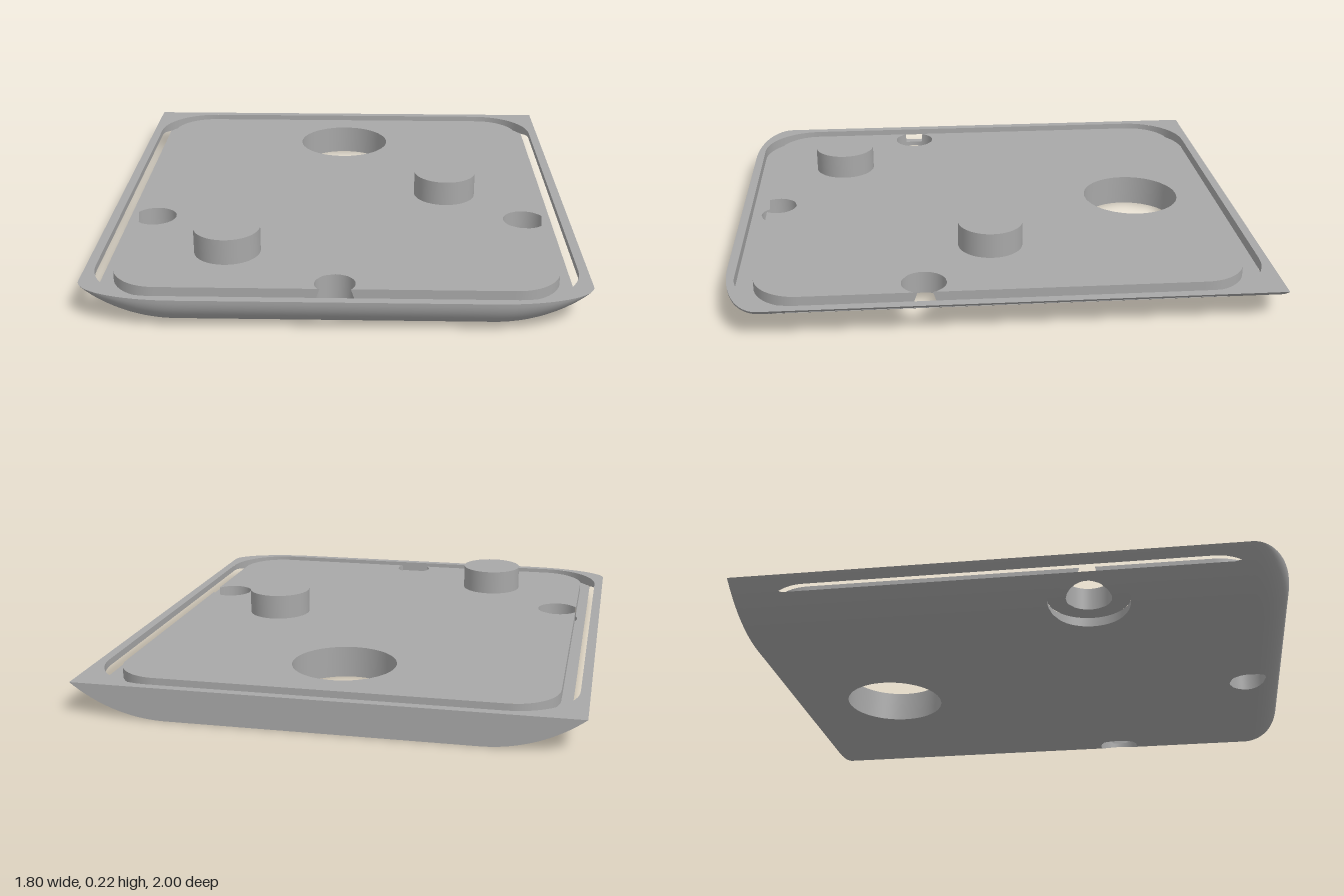
import * as THREE from 'three';
import { mergeVertices } from 'three/addons/utils/BufferGeometryUtils.js';

const TOP = 0.12, FLOOR = 0.08, POCKET = 0.035;        // heights of rim, groove floor, counterbore
const CX = 0.55, CZ = 0.86, RX = 0.35, RZ = 0.14;      // flat core and width of the curved skirt
const SIDE_R = (RX * RX + TOP * TOP) / (2 * TOP);

const bigHole = { x: 0, z: -0.6, r: 0.193 };
const frontHole = { x: 0, z: 0.857, r: 0.073 };
const sideHoles = [-1, 1].map(s => ({ x: s * 0.725, z: 0.285, r: 0.083 }));
const pockets = sideHoles.map(h => ({ ...h, r: 0.15 }));
const holes = [bigHole, frontHole, ...sideHoles];
const grooveOuter = { hx: 0.865, hz: 0.967, r: 0.235 };
const grooveInner = { hx: 0.8, hz: 0.9, r: 0.17 };

// Distances in plan: positive outside the circle or rounded rectangle
const circle = c => (x, z) => Math.hypot(x - c.x, z - c.z) - c.r;
const roundRect = q => (x, z) => {
  const a = Math.abs(x) - q.hx + q.r, b = Math.abs(z) - q.hz + q.r;
  return Math.hypot(Math.max(a, 0), Math.max(b, 0)) + Math.min(Math.max(a, b), 0) - q.r;
};
const outside = holes.map(circle);
const inOuter = roundRect(grooveOuter), inInner = roundRect(grooveInner);
const not = f => (x, z) => -f(x, z);

// Height of the curved underside: shallow arc at the sides, full fillet at the front
function under(x, z) {
  const u = Math.max(0, (Math.abs(x) - CX) / RX), v = Math.max(0, (z - CZ) / RZ);
  const s = Math.min(1, Math.hypot(u, v));
  if (s < 1e-9) return 0;
  const w = u * u / (u * u + v * v);
  const side = SIDE_R - Math.sqrt(SIDE_R * SIDE_R - RX * RX * s * s);
  return w * side + (1 - w) * TOP * (1 - Math.sqrt(1 - s * s));
}

// Plan of the plate as triangles: flat core plus skirt rings
function planTriangles() {
  const tris = [], NZ = 60, NX = 26, NC = 16, NS = 14;
  const patch = (ni, nj, at) => {
    for (let i = 0; i < ni; i++) for (let j = 0; j < nj; j++) {
      const a = at(i, j), b = at(i + 1, j), c = at(i + 1, j + 1), d = at(i, j + 1);
      tris.push([a, b, c], [a, c, d]);
    }
  };
  const zAt = i => -1 + (1 + CZ) * i / NZ, xAt = j => CX * (1 - 2 * j / NX);
  patch(NZ, NX, (i, j) => [xAt(j), zAt(i)]);
  const path = [];
  for (let i = 0; i <= NZ; i++) path.push([CX, zAt(i), 0]);
  for (let i = 1; i <= NC; i++) path.push([CX, CZ, Math.PI / 2 * i / NC]);
  for (let j = 1; j <= NX; j++) path.push([xAt(j), CZ, Math.PI / 2]);
  for (let i = 1; i <= NC; i++) path.push([-CX, CZ, Math.PI / 2 * (1 + i / NC)]);
  for (let i = NZ - 1; i >= 0; i--) path.push([-CX, zAt(i), Math.PI]);
  patch(path.length - 1, NS, (i, j) => {
    const [x, z, t] = path[i], s = Math.sin(Math.PI / 2 * j / NS);
    return [x + RX * s * Math.cos(t), z + RZ * s * Math.sin(t)];
  });
  return tris;
}

// Keep the part of a plan polygon where f > 0
function clip(poly, f) {
  const out = [];
  poly.forEach((a, i) => {
    const b = poly[(i + 1) % poly.length], fa = f(...a) > 0, fb = f(...b) > 0;
    if (fa) out.push(a);
    if (fa !== fb) {
      let p = fa ? a : b, q = fa ? b : a;
      for (let k = 0; k < 24; k++) {
        const m = [(p[0] + q[0]) / 2, (p[1] + q[1]) / 2];
        if (f(...m) > 0) p = m; else q = m;
      }
      out.push(p);
    }
  });
  return out;
}

function toGeometry(pos) {
  const g = new THREE.BufferGeometry();
  g.setAttribute('position', new THREE.Float32BufferAttribute(pos, 3));
  const merged = mergeVertices(g, 1e-5);
  merged.computeVertexNormals();
  return merged;
}

// Plan surface at a height rule, facing up or down, trimmed by the given rules
function surface(plan, height, up, trims) {
  const pos = [];
  for (const tri of plan) {
    let poly = tri;
    for (const f of trims) if (poly.length) poly = clip(poly, f);
    for (let i = 1; i + 1 < poly.length; i++) {
      let [a, b, c] = [poly[0], poly[i], poly[i + 1]];
      const ny = (b[1] - a[1]) * (c[0] - a[0]) - (b[0] - a[0]) * (c[1] - a[1]);
      if (Math.abs(ny) < 1e-10) continue;
      if ((ny > 0) !== up) [b, c] = [c, b];
      for (const p of [a, b, c]) pos.push(p[0], height(...p), p[1]);
    }
  }
  return toGeometry(pos);
}

// Upright wall along a plan path between two height rules
function wall(path, low, high) {
  const pos = [];
  for (let i = 0; i + 1 < path.length; i++) {
    const [a, b] = [path[i], path[i + 1]];
    const ha = high(...a), hb = high(...b);
    const la = Math.min(low(...a), ha), lb = Math.min(low(...b), hb);
    const A = [a[0], la, a[1]], B = [b[0], lb, b[1]], C = [b[0], hb, b[1]], D = [a[0], ha, a[1]];
    if (hb - lb > 1e-6) pos.push(...A, ...B, ...C);
    if (ha - la > 1e-6) pos.push(...A, ...C, ...D);
  }
  return toGeometry(pos);
}

const circlePath = c => Array.from({ length: 129 }, (_, i) => {
  const t = (i % 128) / 128 * Math.PI * 2;
  return [c.x + c.r * Math.cos(t), c.z + c.r * Math.sin(t)];
});

function rectPath({ hx, hz, r }) {
  const p = new THREE.Path(), x = hx - r, z = hz - r, q = Math.PI / 2;
  [[x, z], [-x, z], [-x, -z], [x, -z]].forEach(([cx, cz], i) => p.absarc(cx, cz, r, i * q, (i + 1) * q));
  p.closePath();
  return p.getSpacedPoints(480).map(v => [v.x, v.y]);
}

export function createModel() {
  const group = new THREE.Group();
  group.name = 'coverPlate';
  const grey = new THREE.MeshStandardMaterial({ color: 0xa8a8a8 });
  grey.name = 'plain grey';
  const add = (name, geometry) => {
    const mesh = new THREE.Mesh(geometry, grey);
    mesh.name = name;
    group.add(mesh);
    return mesh;
  };
  const plan = planTriangles();
  const flat = y => () => y;

  // Plate faces
  add('underside', surface(plan, under, false, [
    ...outside,
    ...pockets.map(c => (x, z) => Math.max(circle(c)(x, z), under(x, z) - POCKET)),
    (x, z) => Math.max(FLOOR - under(x, z), inOuter(x, z)),
  ]));
  add('rimTop', surface(plan, flat(TOP), true, [inOuter]));
  add('panelTop', surface(plan, flat(TOP), true, [not(inInner), ...outside]));
  add('grooveFloor', surface(plan, flat(FLOOR), true,
    [inInner, not(inOuter), (x, z) => FLOOR - under(x, z), ...outside]));

  // Back end and groove walls
  const back = Array.from({ length: 121 }, (_, i) => [(CX + RX) * (1 - i / 60), -1]);
  add('backFace', wall(back, under, flat(TOP)));
  add('grooveOuterWall', wall(rectPath(grooveOuter), (x, z) => Math.max(FLOOR, under(x, z)), flat(TOP)));
  add('grooveInnerWall', wall(rectPath(grooveInner).reverse(),
    (x, z) => outside.some(f => f(x, z) < 0) ? TOP : FLOOR, flat(TOP)));

  // Through holes, opening into the groove where they cross it
  const upper = (x, z) => inInner(x, z) < 0 ? TOP : FLOOR;
  add('largeHoleWall', wall(circlePath(bigHole), under, upper));
  add('frontHoleWall', wall(circlePath(frontHole), under, upper));
  sideHoles.forEach((h, i) => {
    add('sideHoleWall', wall(circlePath(h), (x, z) => Math.max(POCKET, under(x, z)), upper));
    add('counterboreWall', wall(circlePath(pockets[i]), under, flat(POCKET)));
    add('counterboreSeat', surface(plan, flat(POCKET), false,
      [not(circle(pockets[i])), circle(h), (x, z) => POCKET - under(x, z)]));
  });

  // Round pegs
  for (const [x, z] of [[0.425, 0.022], [-0.405, 0.595]]) {
    const h = 0.097;
    add('peg', new THREE.CylinderGeometry(0.123, 0.123, h, 64)).position.set(x, TOP + h / 2, z);
  }
  return group;
}
